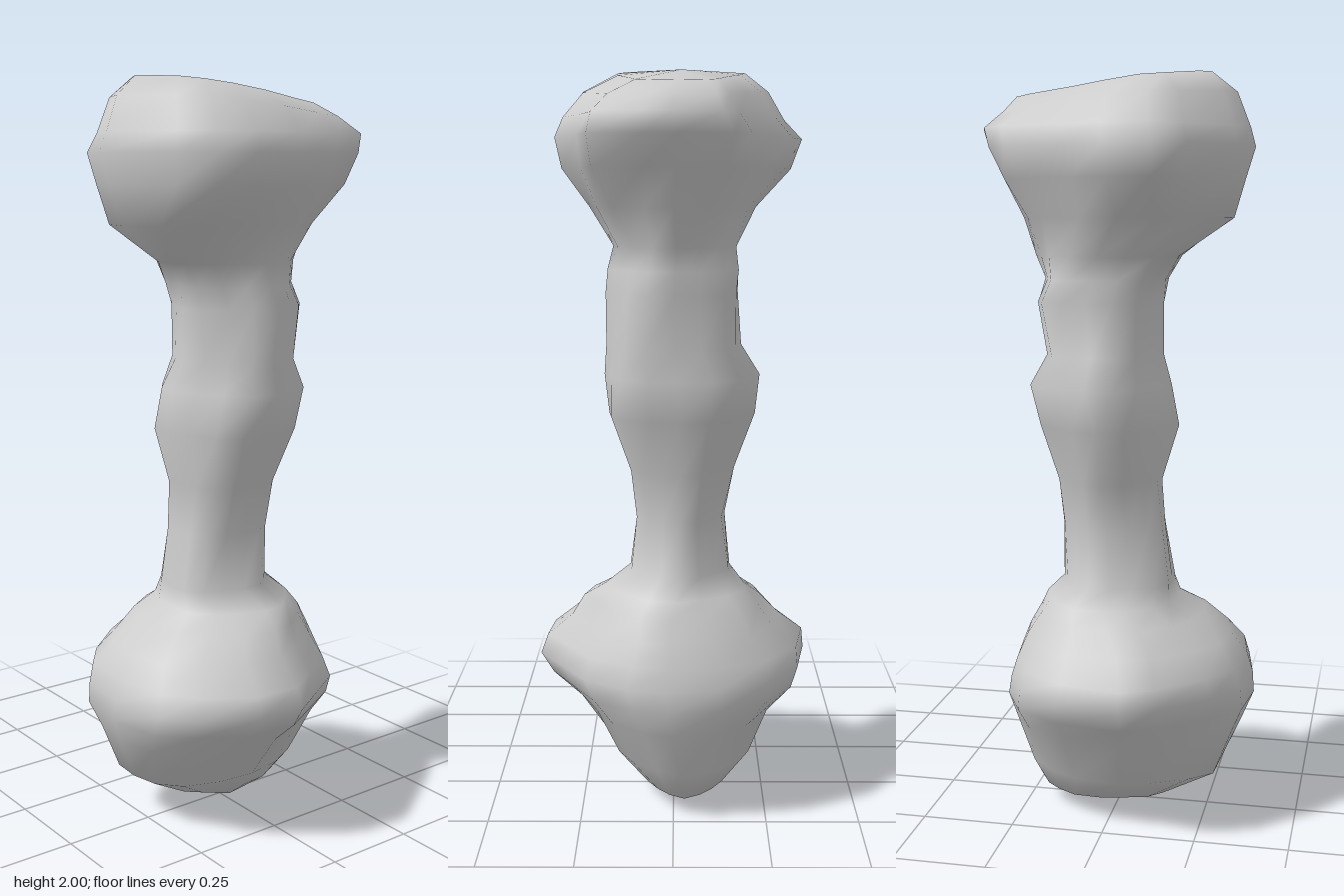
import * as THREE from 'three';

const SIDES = 16;
const { lerp, mapLinear, smoothstep } = THREE.MathUtils;

// Widest outline of each knob as x, z pairs, from +x towards +z
const UPPER = [
  .375, -.01, .365, .07, .315, .21, .21, .24, .03, .31, -.12, .322, -.22, .29, -.295, .215,
  -.36, -.02, -.325, -.13, -.215, -.27, -.14, -.35, -.01, -.315, .11, -.25, .28, -.195, .335, -.15,
];
const LOWER = [
  .315, .02, .29, .12, .215, .235, .11, .3, -.01, .373, -.14, .362, -.27, .28, -.35, .19,
  -.377, .03, -.36, -.13, -.29, -.22, -.16, -.335, -.07, -.375, .11, -.345, .23, -.26, .29, -.13,
];

// Cross-sections: y, xMin, xMax, zMin, zMax
const SECTIONS = [
  [.05, -.14, .215, -.14, .08],
  [.13, -.285, .25, -.225, .17],
  [.26, -.345, .295, -.28, .26],
  [.33, -.375, .315, -.35, .34],
  [.385, -.37, .305, -.37, .375],
  [.44, -.355, .285, -.365, .355],
  [.5, -.31, .26, -.29, .285],
  [.56, -.235, .225, -.24, .25],
  [.6, -.16, .205, -.195, .19],
  [.65, -.15, .155, -.155, .12],
  [.8, -.13, .155, -.14, .1],
  [.93, -.12, .16, -.165, .115],
  [1.08, -.165, .2, -.22, .175],
  [1.19, -.145, .225, -.23, .185],
  [1.27, -.12, .19, -.18, .18],
  [1.41, -.12, .225, -.17, .18],
  [1.47, -.125, .205, -.17, .175],
  [1.53, -.16, .23, -.165, .16],
  [1.63, -.305, .265, -.22, .225],
  [1.73, -.335, .315, -.32, .305],
  [1.81, -.36, .355, -.35, .325],
  [1.86, -.345, .375, -.3, .3],
  [1.925, -.31, .32, -.255, .245],
  [1.97, -.245, .285, -.19, .15],
];

// Blend the knob and shaft outlines by height, then fit the loop to its extents
function crossSection([y, x0, x1, z0, z1], row) {
  const lower = smoothstep(y, -.05, .33) * (1 - smoothstep(y, .45, .65));
  const upper = smoothstep(y, 1.48, 1.78);
  const slope = -.12 * smoothstep(y, 1.86, 1.97);
  const loop = [];
  for (let i = 0; i < SIDES; i++) {
    const a = i / SIDES * Math.PI * 2;
    const r = .35 * (1 + .05 * Math.cos(5 * a + row * .7));
    const blend = (shaft, k) => lerp(lerp(shaft, LOWER[k], lower), UPPER[k], upper);
    loop.push(new THREE.Vector2(blend(r * Math.cos(a), 2 * i), blend(r * Math.sin(a), 2 * i + 1)));
  }
  const box = new THREE.Box2().setFromPoints(loop);
  return loop.map((p) => {
    const x = mapLinear(p.x, box.min.x, box.max.x, x0, x1);
    const z = mapLinear(p.y, box.min.y, box.max.y, z0, z1);
    return [x, y + slope * x, z];
  });
}

// Skin the loops into one closed surface with a centre point at each end
function loft(loops, bottom, top) {
  const positions = [...loops.flat(2), ...bottom, ...top];
  const index = [];
  const lowTip = loops.length * SIDES, highTip = lowTip + 1;
  const last = (loops.length - 1) * SIDES;
  for (let i = 0; i < SIDES; i++) {
    const j = (i + 1) % SIDES;
    for (let r = 0; r < loops.length - 1; r++) {
      const a = r * SIDES + i, b = r * SIDES + j;
      index.push(a, a + SIDES, b, b, a + SIDES, b + SIDES);
    }
    index.push(lowTip, i, j, highTip, last + j, last + i);
  }
  const geometry = new THREE.BufferGeometry();
  geometry.setAttribute('position', new THREE.Float32BufferAttribute(positions, 3));
  geometry.setIndex(index);
  geometry.computeVertexNormals();
  return geometry;
}

export function createModel() {
  const group = new THREE.Group();
  group.name = 'bone';
  const bone = new THREE.Mesh(
    loft(SECTIONS.map(crossSection), [.02, 0, .02], [-.02, 1.985, -.02]),
    new THREE.MeshStandardMaterial({ color: 0xcccccc })
  );
  bone.name = 'boneBody';
  group.add(bone);
  return group;
}
